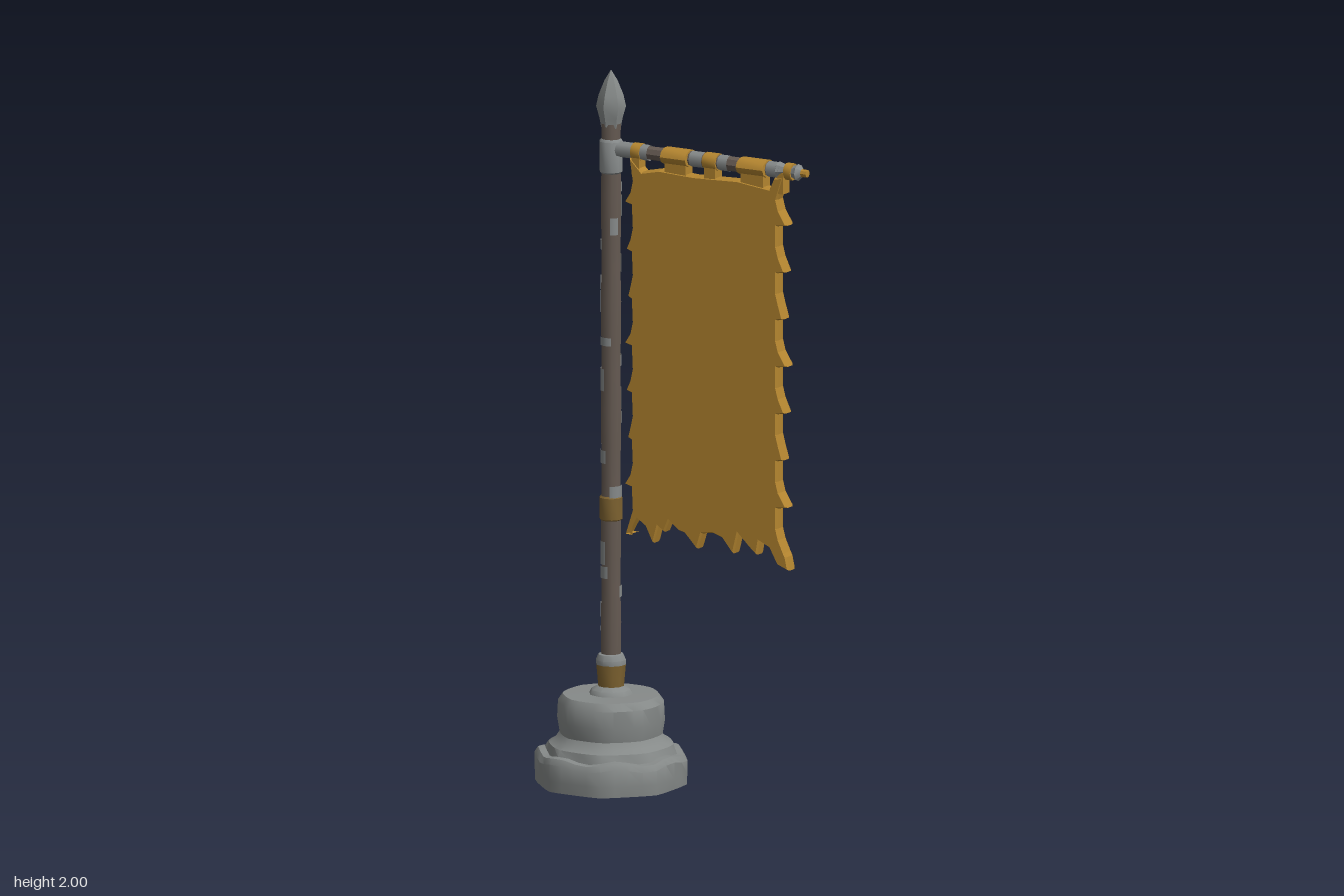
import * as THREE from 'three';
import { toCreasedNormals } from 'three/addons/utils/BufferGeometryUtils.js';

const POLE_X = -0.215;
const BAR_Y = 1.78;

function material(name, color, side = THREE.FrontSide) {
  const m = new THREE.MeshStandardMaterial({ color, side });
  m.name = name;
  return m;
}

function seeded(seed) {
  return () => (seed = (seed * 16807) % 2147483647) / 2147483647;
}

export function createModel() {
  const stone = material('stone grey', 0x868a89);
  const wood = material('dark wood', 0x655a52);
  const gold = material('gold cloth', 0xb58630);
  const brass = material('aged brass', 0x7d6230);
  const worn = material('worn grey', 0x868a8a, THREE.DoubleSide);
  const rand = seeded(71);

  const group = new THREE.Group();
  group.name = 'bannerStand';

  function add(name, geometry, mat, x = 0, y = 0, z = 0, parent = group) {
    const mesh = new THREE.Mesh(geometry, mat);
    mesh.name = name;
    mesh.position.set(x, y, z);
    parent.add(mesh);
    return mesh;
  }

  // Turned part from [radius, height] pairs
  function turned(profile, sides, crease = 0.7) {
    const pts = profile.map(([r, y]) => new THREE.Vector2(r, y));
    return toCreasedNormals(new THREE.LatheGeometry(pts, sides), crease);
  }

  // Stone base: octagonal below, rounder above, with slightly worn sides
  const baseProfile = [
    [0.198, 0], [0.2, 0.03], [0.2, 0.072], [0.19, 0.088], [0.172, 0.09],
    [0.168, 0.112], [0.15, 0.122], [0.139, 0.14], [0.146, 0.18],
    [0.144, 0.228], [0.13, 0.248], [0.04, 0.25], [0, 0.25],
  ].map(([r, y]) => new THREE.Vector2(r, y));
  const base = new THREE.LatheGeometry(baseProfile, 32);
  const p = base.attributes.position;
  for (let i = 0; i < p.count; i++) {
    const x = p.getX(i), y = p.getY(i), z = p.getZ(i);
    const a = Math.atan2(z, x), step = Math.PI / 4;
    const off = a - Math.round(a / step) * step;
    const octagon = Math.min(1 / Math.cos(off), 1.06);
    const blend = y < 0.1 ? 1 : 0.4;
    const wear = y > 0.01 && y < 0.24 ? 0.012 * Math.sin(5 * a + y * 30) * Math.cos(3 * a) : 0;
    const k = 1 + (octagon - 1) * blend + wear;
    const chip = y > 0.06 && y < 0.1 ? 0.006 * Math.sin(7 * a + 1) : 0;
    p.setXYZ(i, x * k, y + chip, z * k);
  }
  add('stoneBase', toCreasedNormals(base, 0.6), stone, POLE_X);
  const underside = new THREE.CircleGeometry(0.208, 8, Math.PI / 8);
  underside.rotateX(Math.PI / 2);
  add('baseUnderside', underside, wood, POLE_X, 0.001);

  // Pole with faint irregularities
  const poleProfile = [];
  for (let i = 0; i <= 16; i++) {
    poleProfile.push([0.0275 + (i % 3 - 1) * 0.0012, 0.25 + i * 0.1]);
  }
  add('pole', turned(poleProfile, 10), wood, POLE_X);

  // Socket, collars and spear finial
  add('socketFoot', turned([[0.062, 0.248], [0.055, 0.262], [0.036, 0.272]], 10), stone, POLE_X);
  add('socket', turned([[0.036, 0.262], [0.037, 0.28], [0.042, 0.335], [0.03, 0.338]], 10), brass, POLE_X);
  add('socketRim', turned([[0.042, 0.332], [0.042, 0.345], [0.035, 0.36], [0.027, 0.362]], 10), worn, POLE_X);
  add('lowerBand', turned([[0.027, 0.735], [0.032, 0.74], [0.032, 0.8], [0.027, 0.805]], 10), brass, POLE_X);
  add('barCollar', turned([[0.027, 1.71], [0.032, 1.715], [0.033, 1.8], [0.027, 1.807]], 10), worn, POLE_X);
  add('finial', turned([
    [0, 1.838], [0.027, 1.838], [0.032, 1.865], [0.041, 1.898],
    [0.034, 1.93], [0.018, 1.97], [0, 2],
  ], 6, 0.5), stone, POLE_X);

  // Worn patches around the pole
  const patches = new THREE.Group();
  patches.name = 'poleWear';
  patches.position.x = POLE_X;
  group.add(patches);
  for (let i = 0; i < 24; i++) {
    const h = 0.015 + rand() * 0.05;
    const arc = 0.7 + rand() * 1.2;
    const g = new THREE.CylinderGeometry(0.0295, 0.0295, h, 4, 1, true, rand() * 6.28, arc);
    add('wornPatch', g, worn, 0, 0.43 + i * 0.054, 0, patches);
  }

  // Crossbar, built upright and laid along x
  const bar = new THREE.Group();
  bar.name = 'crossbar';
  bar.position.set(0, BAR_Y, 0);
  bar.rotation.z = -Math.PI / 2;
  group.add(bar);
  add('barShaft', turned([[0.019, -0.21], [0.018, -0.13], [0.021, 0], [0.021, 0.3], [0.016, 0.36]], 8), wood, 0, 0, 0, bar);
  for (const [from, to] of [[-0.19, -0.14], [-0.115, -0.09], [0.045, 0.085], [0.135, 0.165], [0.29, 0.33]]) {
    const sleeve = new THREE.CylinderGeometry(0.0225, 0.0225, to - from, 8, 1, true);
    add('barSleeve', sleeve, worn, 0, (from + to) / 2, 0, bar);
  }
  add('barEnd', turned([
    [0.015, 0.315], [0.025, 0.322], [0.017, 0.345], [0.018, 0.37], [0.024, 0.383], [0.012, 0.395],
  ], 8), worn, 0, 0, 0, bar);
  add('barTip', turned([[0.014, 0.385], [0.011, 0.4], [0.011, 0.412], [0, 0.415]], 8), gold, 0, 0, 0, bar);

  // Cloth loops: a ring over the bar and a strap down to the banner
  const loops = [
    [-0.127, 0.028, 0.024], [0, 0.08, 0.033], [0.11, 0.042, 0.026],
    [0.245, 0.085, 0.034], [0.357, 0.022, 0.022],
  ];
  for (const [x, width, r] of loops) {
    const ring = new THREE.CylinderGeometry(r, r, width, 10);
    ring.rotateZ(Math.PI / 2);
    ring.scale(1, 0.024 / r, 1);
    add('loopRing', toCreasedNormals(ring, 0.7), gold, x, BAR_Y, 0);
    const strapX = x > 0.3 ? 0.335 : x;
    add('loopStrap', new THREE.BoxGeometry(width * 0.85, 0.06, 0.036), gold, strapX, 1.747, 0);
  }

  // Banner with torn sides and a ragged hem
  const shape = new THREE.Shape();
  shape.moveTo(-0.145, 1.765);
  for (let i = 0; i < 8; i++) {
    const y = 1.7 - i * 0.132;
    shape.lineTo(-0.137, y);
    shape.lineTo(-0.145, y - 0.035);
    shape.lineTo(-0.162 + (i % 3) * 0.005, y - 0.062);
    shape.lineTo(-0.14, y - 0.068);
  }
  const hem = [
    [-0.15, 0.71], [-0.125, 0.755], [-0.095, 0.735], [-0.07, 0.69], [-0.055, 0.74],
    [-0.035, 0.725], [-0.02, 0.76], [0.01, 0.735], [0.03, 0.73], [0.07, 0.69], [0.085, 0.735],
    [0.12, 0.74], [0.15, 0.73], [0.185, 0.69], [0.2, 0.75], [0.235, 0.715], [0.26, 0.695],
    [0.268, 0.735], [0.3, 0.72], [0.325, 0.675], [0.362, 0.662], [0.355, 0.7], [0.335, 0.735],
  ];
  for (const [x, y] of hem) shape.lineTo(x, y);
  for (let i = 7; i >= 0; i--) {
    const y = 1.7 - i * 0.132;
    shape.lineTo(0.325, y - 0.075);
    shape.lineTo(0.357 - (i % 3) * 0.006, y - 0.07);
    shape.lineTo(0.333, y - 0.03);
    shape.lineTo(0.325, y);
  }
  shape.lineTo(0.345, 1.765);
  shape.lineTo(0.315, 1.76);
  shape.lineTo(0.3, 1.728);
  shape.lineTo(0.2, 1.74);
  shape.lineTo(0.06, 1.735);
  shape.lineTo(-0.05, 1.74);
  shape.lineTo(-0.105, 1.728);
  const cloth = new THREE.ExtrudeGeometry(shape, {
    depth: 0.026, bevelEnabled: true, bevelThickness: 0.008,
    bevelSize: 0.004, bevelOffset: -0.004, bevelSegments: 1,
  });
  add('banner', cloth, gold, 0, 0, -0.013);

  return group;
}
